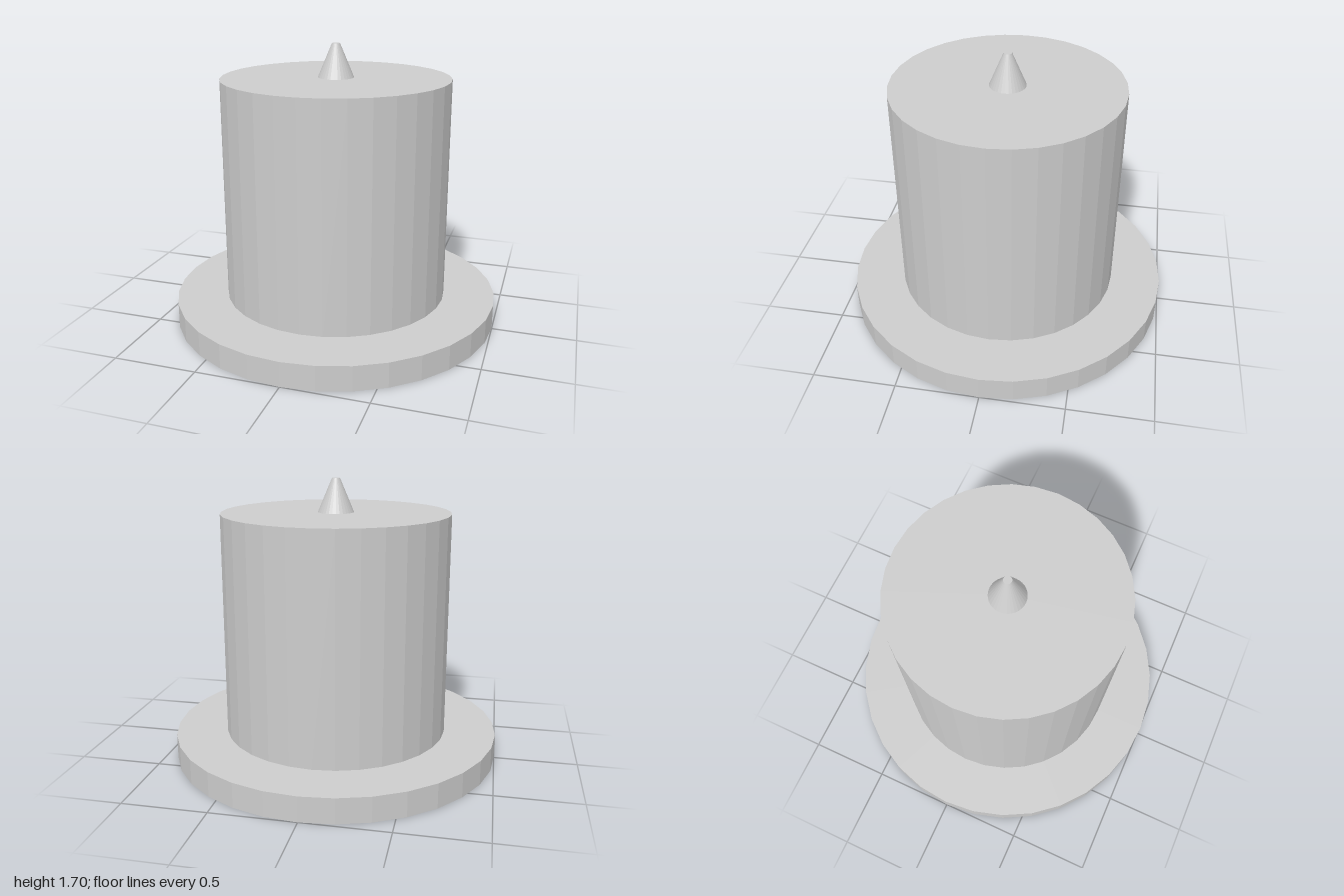
import * as THREE from 'three';

const SIDES = 32;

export function createModel() {
  const group = new THREE.Group();
  const grey = new THREE.MeshStandardMaterial({ color: 0xcccccc, flatShading: true });
  grey.name = 'light grey';

  // One faceted round section standing between two heights
  const section = (name, rTop, rBottom, y0, y1) => {
    const geometry = new THREE.CylinderGeometry(rTop, rBottom, y1 - y0, SIDES);
    const mesh = new THREE.Mesh(geometry, grey);
    mesh.name = name;
    mesh.position.y = (y0 + y1) / 2;
    group.add(mesh);
  };

  section('baseFlange', 1, 1, 0, 0.15);
  section('body', 0.687, 0.687, 0.15, 1.5);
  section('taperedTip', 0.024, 0.108, 1.5, 1.7);

  return group;
}
